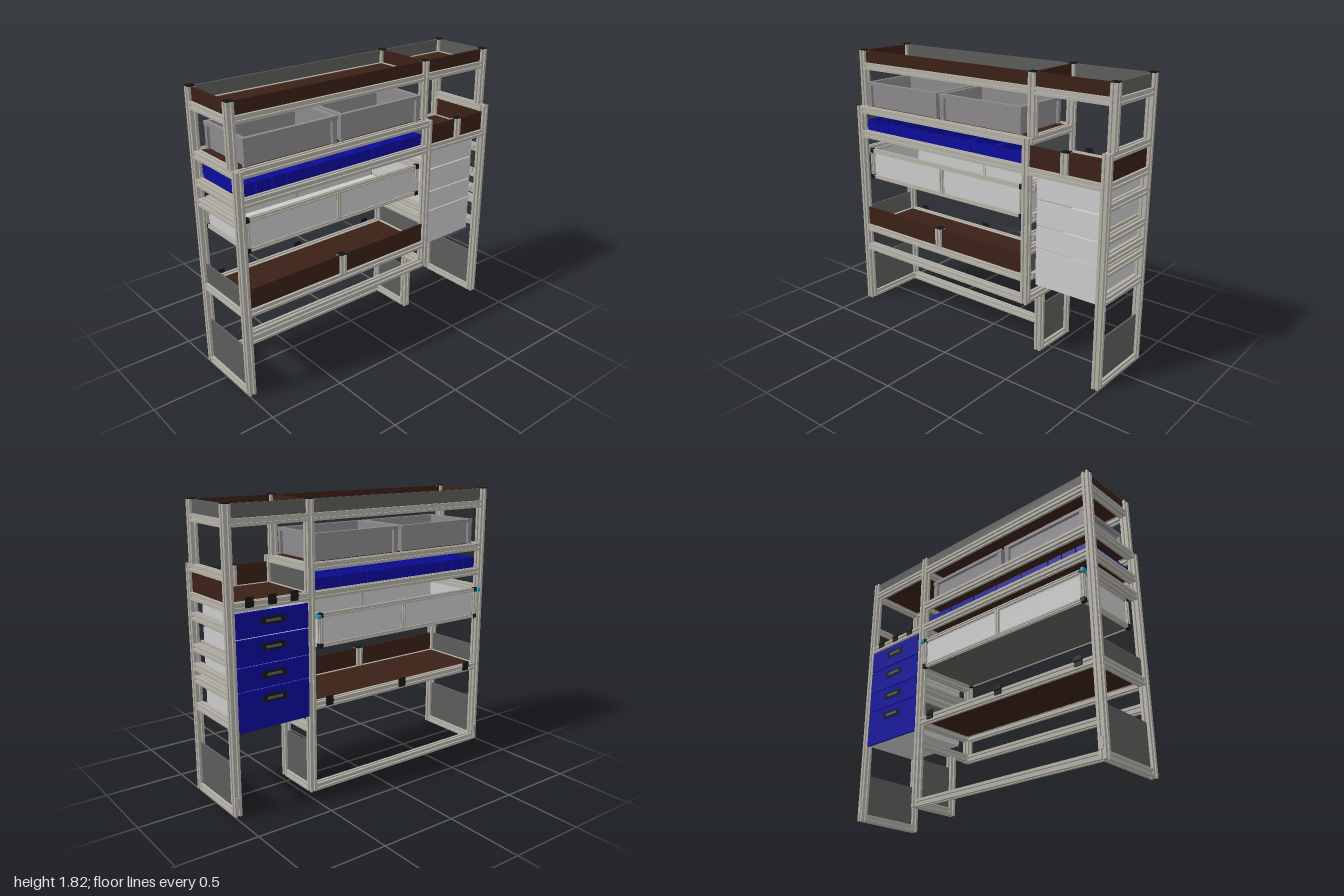
import * as THREE from 'three';
import { mergeGeometries } from 'three/addons/utils/BufferGeometryUtils.js';

const mat = (color) => new THREE.MeshStandardMaterial({ color });
const METAL = mat(0xb2afa5), BROWN = mat(0x3a2016), DARK = mat(0x5c5c5a), LIGHT = mat(0xcccccc);
const BIN = mat(0x8c898c), BLUE = mat(0x0c0c9c), BLACK = mat(0x151515), CYAN = mat(0x1fa0c0);

const W = 0.046; // width of the slotted framing bar
const BACK = -0.212, FRONT = 0.236, UPPER = 0.188; // x of the post rows
const ENDS = [0.977, -0.442, -0.977]; // z of the three end frames
const BAYS = [[0.954, -0.419], [-0.465, -0.954]]; // z extents between the frames

// square bar section with a slot in each side
function barShape(w) {
  const h = w / 2, s = w * 0.13, d = w * 0.25;
  const quarter = [[h, -h], [h, -s], [h - d, -s], [h - d, s], [h, s]];
  const pts = [];
  for (let i = 0; i < 4; i++) {
    const c = [1, 0, -1, 0][i], n = [0, 1, 0, -1][i];
    quarter.forEach(([x, y]) => pts.push(new THREE.Vector2(x * c - y * n, x * n + y * c)));
  }
  return new THREE.Shape(pts);
}

export function createModel() {
  const model = new THREE.Group();

  const add = (name, geo, material, parent = model) => {
    const mesh = new THREE.Mesh(geo, material);
    mesh.name = name;
    parent.add(mesh);
    return mesh;
  };
  const boxGeo = (x0, x1, y0, y1, z0, z1) =>
    new THREE.BoxGeometry(Math.abs(x1 - x0), Math.abs(y1 - y0), Math.abs(z1 - z0))
      .translate((x0 + x1) / 2, (y0 + y1) / 2, (z0 + z1) / 2);
  const box = (name, m, ...b) => add(name, boxGeo(...b), m);
  // slotted bar from a to b along one axis, p holds the other two coordinates
  const bar = (name, axis, a, b, p, w = W) => {
    const len = Math.abs(b - a), mid = (a + b) / 2;
    const geo = new THREE.ExtrudeGeometry(barShape(w), { depth: len, bevelEnabled: false });
    geo.translate(0, 0, -len / 2);
    if (axis === 'x') geo.rotateY(Math.PI / 2).translate(mid, p[0], p[1]);
    if (axis === 'y') geo.rotateX(Math.PI / 2).translate(p[0], mid, p[1]);
    if (axis === 'z') geo.translate(p[0], p[1], mid);
    return add(name, geo, METAL);
  };
  const openBox = (name, m, x0, x1, y0, y1, z0, z1, t = 0.006) =>
    add(name, mergeGeometries([
      boxGeo(x0, x1, y0, y0 + t, z0, z1),
      boxGeo(x0, x0 + t, y0 + t, y1, z0, z1), boxGeo(x1 - t, x1, y0 + t, y1, z0, z1),
      boxGeo(x0 + t, x1 - t, y0 + t, y1, z0, z0 + t), boxGeo(x0 + t, x1 - t, y0 + t, y1, z1 - t, z1),
    ]), m);
  const cap = (x, y, z) => box('postCap', BLACK, x - 0.023, x + 0.023, y, y + 0.006, z - 0.023, z + 0.023);

  // end frames: posts, cross rails and infill panels
  ENDS.forEach((z, i) => {
    const middle = i === 1;
    const footX = middle ? 0.08 : FRONT;
    bar('backPost', 'y', 0, 1.815, [BACK, z]);
    bar('frontPost', 'y', middle ? 0.39 : 0, 1.44, [FRONT, z]);
    bar('upperFrontPost', 'y', 1.443, 1.815, [UPPER, z]);
    cap(BACK, 1.815, z);
    cap(UPPER, 1.815, z);
    if (middle) {
      bar('stubPost', 'y', 0, 0.395, [0.08, z]);
      bar('crossRail', 'x', -0.189, 0.213, [0.418, z]);
    }
    bar('bottomRail', 'x', -0.189, footX - 0.023, [0.023, z]);
    box('bottomPanel', DARK, -0.189, footX - 0.023, 0.045, 0.317, z - 0.006, z + 0.006);
    const heights = [1.42, 1.25, 1.127];
    if (i < 2) heights.push(0.563);
    if (i > 0) heights.push(0.935, 0.815, 0.735);
    if (i === 2) heights.push(0.563);
    heights.forEach((y) => bar('crossRail', 'x', -0.189, 0.213, [y, z]));
    bar('topCrossRail', 'x', -0.189, 0.165, [1.712, z]);
    box('topEndPanel', i === 2 ? DARK : BROWN, -0.189, 0.165, 1.735, 1.815, z - 0.006, z + 0.006);
    if (i > 0) box('shelfEndPanel', middle ? DARK : BROWN, -0.189, 0.213, 1.273, 1.398, z - 0.006, z + 0.006);
    if (i < 2) box('lowerEndPanel', DARK, -0.189, 0.213, 0.586, 0.712, z - 0.006, z + 0.006);
    // small foot bracket
    if (!middle) box('footBracket', METAL, -0.241, -0.235, 0.05, 0.12, z - 0.012, z + 0.012);
  });

  // long rails and shelf floors
  const shelf = (bay, y, frontX) => {
    const [z1, z0] = BAYS[bay];
    [BACK, frontX].forEach((x) => bar('longRail', 'z', z0, z1, [x, y]));
    box('shelfFloor', BROWN, BACK + 0.01, frontX - 0.01, y + 0.008, y + 0.02, z0 - 0.01, z1 + 0.01);
  };
  [0, 1].forEach((bay) => {
    const [z1, z0] = BAYS[bay];
    shelf(bay, 1.712, UPPER);
    shelf(bay, 1.25, FRONT);
    box('topFrontPanel', BROWN, UPPER - 0.006, UPPER + 0.006, 1.735, 1.815, z0, z1);
    box('topBackPanel', DARK, BACK - 0.006, BACK + 0.006, 1.735, 1.815, z0, z1);
  });
  shelf(0, 1.42, FRONT);
  shelf(0, 0.563, FRONT);
  bar('lowFrontRail', 'z', -0.419, 0.954, [FRONT, 0.415]);
  bar('lowBackRail', 'z', -0.419, 0.954, [BACK, 0.023]);

  // retaining lips with a short post in the middle
  [[BAYS[0], 0.586, 0.268], [BAYS[1], 1.273, -0.71]].forEach(([[z1, z0], y, z]) => {
    box('shelfLip', BROWN, FRONT - 0.006, FRONT + 0.006, y, y + 0.126, z0, z1);
    bar('lipPost', 'y', y, y + 0.128, [FRONT, z]);
    cap(FRONT, y + 0.128, z);
  });

  // hinges on the back rails
  const hinge = (y, z) => {
    box('hinge', BLACK, -0.242, -0.235, y - 0.03, y + 0.03, z - 0.026, z + 0.026);
    add('hingePin', new THREE.CylinderGeometry(0.006, 0.006, 0.054, 8).rotateX(Math.PI / 2).translate(-0.242, y, z), BLACK);
  };
  [-0.565, -0.713, -0.862].forEach((z) => hinge(1.272, z));
  [-0.32, 0.268, 0.86].forEach((z) => hinge(0.582, z));

  // drawer stack
  [[0.51, 0.752], [0.758, 0.896], [0.902, 1.06], [1.068, 1.214]].forEach(([y0, y1]) => {
    openBox('drawerBox', LIGHT, -0.222, 0.185, y0, y1, -0.94, -0.48);
    box('drawerFront', BLUE, -0.235, -0.222, y0, y1, -0.95, -0.469);
    const y = y1 - 0.062;
    box('drawerHandle', BLACK, -0.239, -0.235, y - 0.022, y + 0.022, -0.79, -0.63);
    box('handleGrip', DARK, -0.242, -0.239, y - 0.008, y + 0.008, -0.76, -0.66);
    [-0.468, -0.951].forEach((z) => box('drawerRunner', METAL, -0.21, 0.2, y0 + 0.045, y0 + 0.075, z - 0.006, z + 0.006));
  });

  // sliding tray with a slim bar frame
  const tray = [-0.236, 0.205];
  openBox('trayBody', LIGHT, tray[0] + 0.006, tray[1] - 0.006, 0.936, 1.115, -0.385, 0.915);
  box('trayBase', DARK, tray[0] + 0.01, tray[1] - 0.01, 0.93, 0.937, -0.38, 0.91);
  tray.forEach((x) => {
    bar('trayTopRail', 'z', -0.39, 0.925, [x, 1.128], 0.026);
    bar('trayBottomRail', 'z', -0.39, 0.925, [x, 0.942], 0.022);
    [0.92, 0.268, -0.385].forEach((z) => bar('trayUpright', 'y', 0.95, 1.117, [x, z], 0.026));
    [0.92, -0.385].forEach((z) => [0.942, 1.128].forEach((y) =>
      box('trayCorner', BLACK, x - 0.014, x + 0.014, y - 0.014, y + 0.014, z - 0.014, z + 0.014)));
  });
  [0.92, -0.385].forEach((z) => [0.942, 1.128].forEach((y) =>
    bar('traySideRail', 'x', tray[0], tray[1], [y, z], 0.024)));
  [0.938, -0.405].forEach((z) => box('trayLatch', CYAN, -0.264, -0.232, 1.114, 1.137, z - 0.01, z + 0.01));

  // row of small blue bins
  [[0.95, 0.855], [0.845, 0.75], [0.74, 0.645], [0.635, 0.43], [0.425, 0.222], [0.217, 0.013], [0.007, -0.197], [-0.205, -0.41]]
    .forEach(([z1, z0]) => openBox('smallBin', BLUE, -0.189, 0.212, 1.272, 1.344, z0, z1, 0.004));

  // large storage crates with rims and corner ribs
  [[0.925, 0.283], [0.26, -0.385]].forEach(([z1, z0]) => {
    const x0 = -0.189, x1 = 0.225;
    openBox('crate', BIN, x0 + 0.022, x1 - 0.022, 1.443, 1.605, z0 + 0.022, z1 - 0.022);
    [[x0, x0 + 0.025, z0, z1], [x1 - 0.025, x1, z0, z1], [x0, x1, z0, z0 + 0.025], [x0, x1, z1 - 0.025, z1]]
      .forEach(([a, b, c, d]) => box('crateRim', BIN, a, b, 1.588, 1.61, c, d));
    [x0 + 0.015, x1 - 0.015].forEach((x) => [z0 + 0.02, z1 - 0.02].forEach((z) =>
      box('crateCorner', BIN, x - 0.012, x + 0.012, 1.443, 1.59, z - 0.016, z + 0.016)));
  });

  return model;
}
